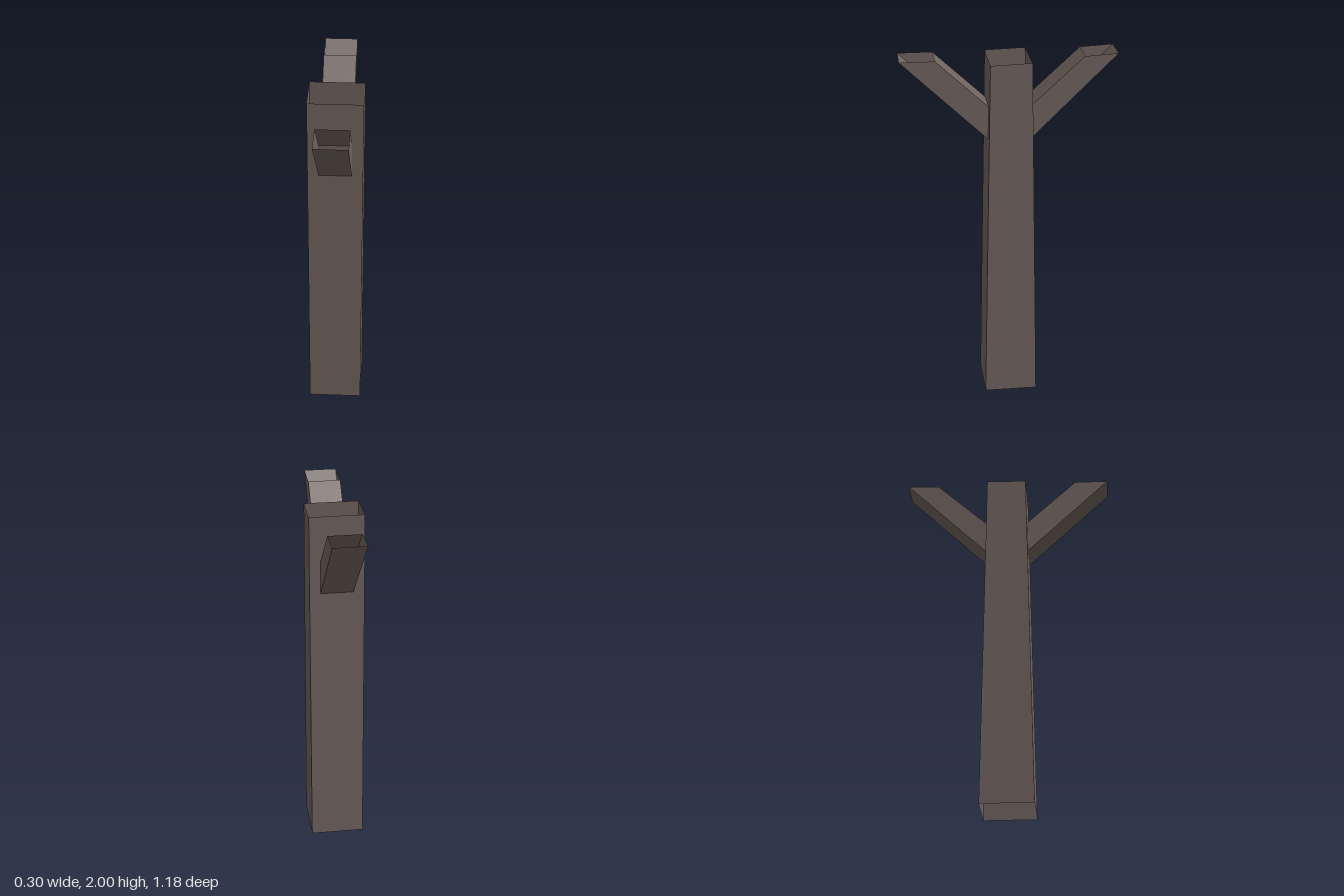
import * as THREE from 'three';

// Open-ended four-sided tube between two rings of corners
function squareTube(name, start, end, material) {
  const pos = [];
  for (let i = 0; i < 4; i++) {
    const j = (i + 1) % 4;
    const [a, b, c, d] = [start[i], start[j], end[j], end[i]];
    pos.push(...a, ...b, ...c, ...a, ...c, ...d);
  }
  const geometry = new THREE.BufferGeometry();
  geometry.setAttribute('position', new THREE.Float32BufferAttribute(pos, 3));
  geometry.computeVertexNormals();
  const mesh = new THREE.Mesh(geometry, material);
  mesh.name = name;
  return mesh;
}

export function createModel() {
  const bark = new THREE.MeshStandardMaterial({ color: 0x70635e, side: THREE.DoubleSide });
  bark.name = 'bark brown';
  const model = new THREE.Group();
  model.name = 'bareTree';

  // Hollow trunk, tapering only from front to back
  const trunkRing = (front, back, yFront, yBack) => [
    [0.15, yFront, front], [0.15, yBack, back], [-0.15, yBack, back], [-0.15, yFront, front],
  ];
  model.add(squareTube('trunk', trunkRing(0.148, -0.148, 0, 0), trunkRing(0.11, -0.115, 1.973, 1.98), bark));

  // Hollow branches, cut flush with the trunk and level at the tip
  const branchRing = (s, low, high) => [
    [0.09 * s, low[1], low[0]], [0.09 * s, high[1], high[0]],
    [-0.09 * s, high[1], high[0]], [-0.09 * s, low[1], low[0]],
  ];
  model.add(squareTube('frontBranch',
    branchRing(1, [0.118, 1.54], [0.114, 1.725]),
    branchRing(1, [0.59, 1.99], [0.4, 1.99]), bark));
  model.add(squareTube('backBranch',
    branchRing(-1, [-0.122, 1.54], [-0.119, 1.725]),
    branchRing(-1, [-0.59, 2], [-0.408, 1.99]), bark));

  return model;
}
